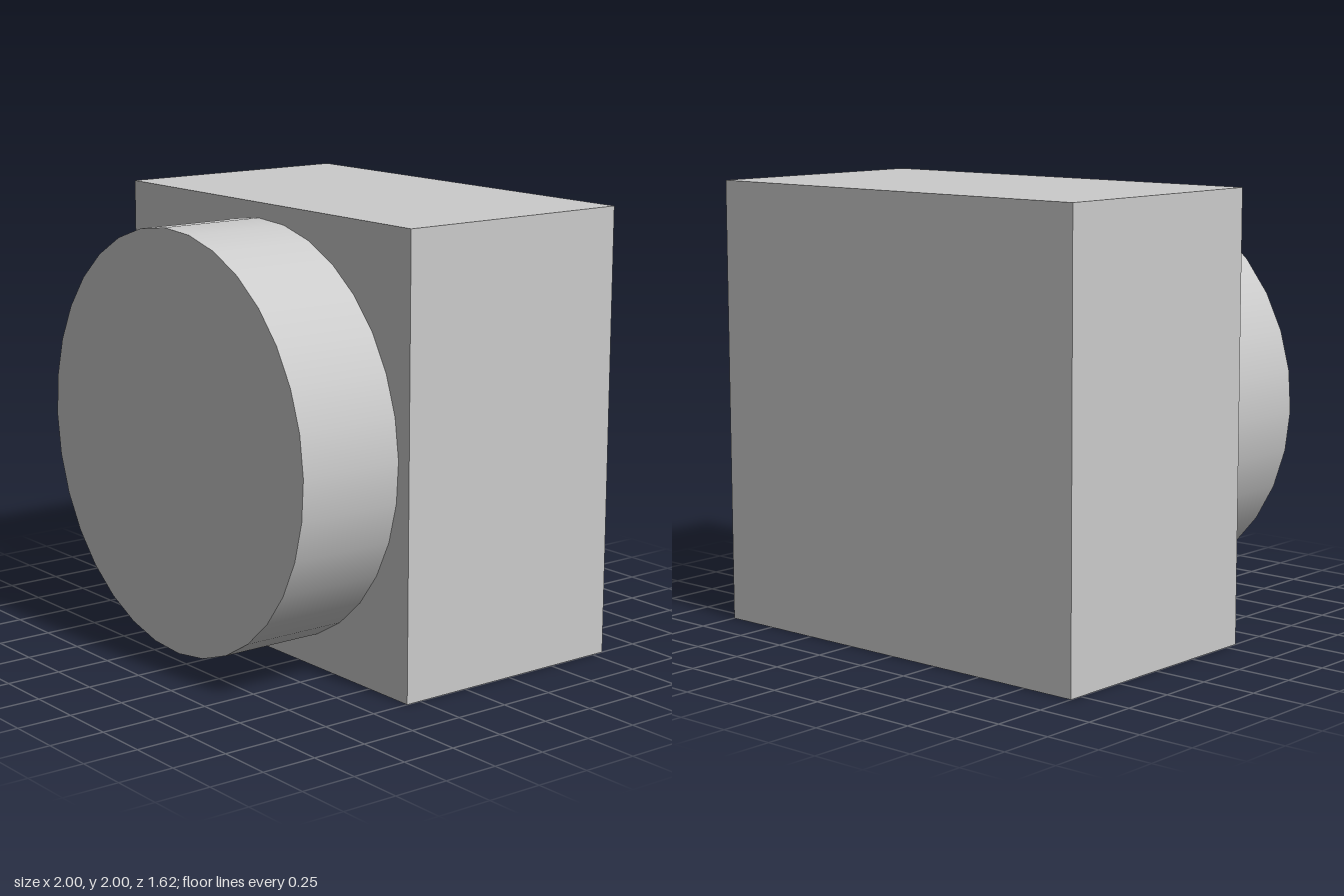
import * as THREE from 'three';

export function createModel() {
  const group = new THREE.Group();
  const material = new THREE.MeshStandardMaterial({ color: 0xcccccc });
  const back = -0.81, boxFront = 0.32, front = 0.81;

  const addPart = (name, geometry, z) => {
    const mesh = new THREE.Mesh(geometry, material);
    mesh.name = name;
    mesh.position.set(0, 1, z);
    group.add(mesh);
  };

  // Square block standing on the ground
  addPart('block', new THREE.BoxGeometry(2, 2, boxFront - back), (back + boxFront) / 2);

  // Round disc projecting from the front face, turned by two degrees
  const disc = new THREE.CylinderGeometry(0.932, 0.932, front - boxFront, 32, 1, false, 0.035);
  disc.rotateX(Math.PI / 2);
  addPart('frontDisc', disc, (boxFront + front) / 2);

  return group;
}
